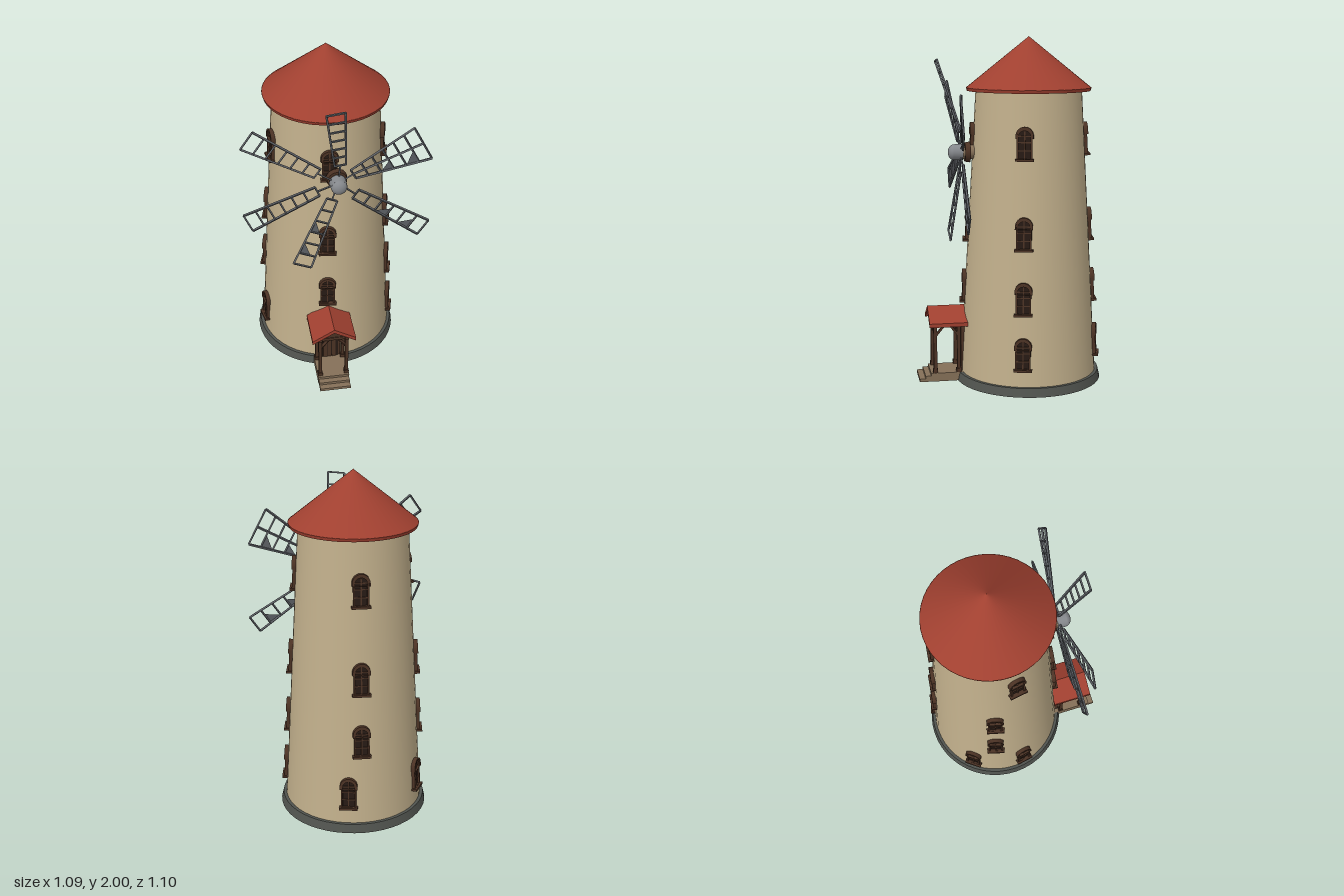
import * as THREE from 'three';

const mat = (name, color) => Object.assign(new THREE.MeshStandardMaterial({ color }), { name });

export function createModel() {
  const plaster = mat('plaster', 0xc2b08c);
  const tile = mat('red roof', 0xa04030);
  const stone = mat('dark stone', 0x50534e);
  const wood = mat('dark wood', 0x4b3224);
  const pane = mat('dark pane', 0x261a14);
  const step = mat('step stone', 0x857058);
  const iron = mat('sail frame', 0x5c5f64);
  const steel = mat('hub metal', 0x85888c);

  const model = new THREE.Group();
  model.name = 'windmill';
  const mill = new THREE.Group();
  mill.name = 'mill';
  mill.position.set(-0.115, 0, -0.122);
  model.add(mill);

  const add = (parent, name, geo, material, x = 0, y = 0, z = 0) => {
    const m = new THREE.Mesh(geo, material);
    m.name = name;
    m.position.set(x, y, z);
    parent.add(m);
    return m;
  };
  const box = (parent, name, material, w, h, d, x, y, z) =>
    add(parent, name, new THREE.BoxGeometry(w, h, d), material, x, y, z);
  // square bar between two points
  const bar = (parent, name, material, a, b, t) => {
    const m = box(parent, name, material, t, t, a.distanceTo(b), 0, 0, 0);
    m.position.copy(a).lerp(b, 0.5);
    m.quaternion.setFromUnitVectors(new THREE.Vector3(0, 0, 1), b.clone().sub(a).normalize());
    return m;
  };
  const V = (x, y, z) => new THREE.Vector3(x, y, z);
  const extrude = (shape, depth) =>
    new THREE.ExtrudeGeometry(shape, { depth, bevelEnabled: false, curveSegments: 8 });
  // round-topped outline, springing from y = h
  const arch = (w, h, rise, Type = THREE.Shape, y0 = 0) => {
    const s = new Type();
    s.moveTo(-w, y0);
    s.lineTo(w, y0);
    s.lineTo(w, h);
    s.absellipse(0, h, w, rise, 0, Math.PI, false, 0);
    s.lineTo(-w, y0);
    return s;
  };

  // tower
  const R = y => 0.4 - 0.095 * (y - 0.05) / 1.65;
  add(mill, 'foundation', new THREE.CylinderGeometry(0.418, 0.43, 0.05, 48), stone, 0, 0.025, 0);
  add(mill, 'tower', new THREE.CylinderGeometry(0.305, 0.4, 1.66, 48, 1, true), plaster, 0, 0.88, 0);
  add(mill, 'roof', new THREE.ConeGeometry(0.36, 0.29, 48, 1, true), tile, 0, 1.855, 0);
  add(mill, 'roofRim', new THREE.CylinderGeometry(0.36, 0.355, 0.018, 48), tile, 0, 1.702, 0);

  // windows: sill height and angles from +x towards +z
  const frameShape = arch(0.043, 0.135, 0.04);
  frameShape.holes.push(arch(0.033, 0.135, 0.03, THREE.Path, 0.012));
  const frameGeo = extrude(frameShape, 0.034);
  const paneGeo = extrude(arch(0.036, 0.135, 0.033), 0.005);
  const hoodShape = arch(0.05, 0.135, 0.052, THREE.Shape, 0.12);
  hoodShape.holes.push(arch(0.042, 0.135, 0.04, THREE.Path, 0.121));
  const hoodGeo = extrude(hoodShape, 0.04);
  const rows = [
    [1.325, [37, 112, 219, -43]], [0.825, [39, 136, 219, -43]],
    [0.46, [39, 137, 219, -43]], [0.145, [111, 159, 230, -43]],
  ];
  for (const [y, angles] of rows) for (const deg of angles) {
    const a = THREE.MathUtils.degToRad(deg);
    const w = new THREE.Group();
    w.name = 'window';
    w.position.set(Math.cos(a) * R(y), y, Math.sin(a) * R(y));
    w.rotation.set(-0.057, Math.PI / 2 - a, 0, 'YXZ');
    mill.add(w);
    add(w, 'windowFrame', frameGeo, wood, 0, 0, -0.018);
    add(w, 'windowPane', paneGeo, pane, 0, 0, 0);
    add(w, 'windowHood', hoodGeo, wood, 0, 0, -0.018);
    box(w, 'mullion', wood, 0.007, 0.155, 0.008, 0, 0.085, 0.007);
    for (const b of [0.055, 0.1, 0.135]) box(w, 'glazingBar', wood, 0.068, 0.006, 0.008, 0, b, 0.007);
    box(w, 'windowSill', wood, 0.104, 0.013, 0.045, 0, 0.003, 0.006);
  }

  // parts on the entrance side share this heading (local +z points outwards)
  const entrance = new THREE.Group();
  entrance.name = 'entranceSide';
  entrance.rotation.y = THREE.MathUtils.degToRad(58);
  mill.add(entrance);

  // porch
  const porch = new THREE.Group();
  porch.name = 'porch';
  porch.position.x = -0.04;
  entrance.add(porch);
  const gable = new THREE.Shape();
  [[-0.13, 0.335], [0, 0.41], [0.13, 0.335], [0.13, 0.358], [0, 0.435], [-0.13, 0.358]]
    .forEach(([x, y], i) => (i ? gable.lineTo(x, y) : gable.moveTo(x, y)));
  add(porch, 'porchRoof', extrude(gable, 0.24), tile, 0, 0, 0.355);
  const tri = new THREE.Shape();
  tri.moveTo(-0.095, 0.34);
  tri.lineTo(0.095, 0.34);
  tri.lineTo(0, 0.405);
  add(porch, 'gableBoard', extrude(tri, 0.012), wood, 0, 0, 0.553);
  box(porch, 'porchFloor', step, 0.19, 0.05, 0.22, 0, 0.025, 0.475);
  box(porch, 'upperStep', step, 0.186, 0.034, 0.035, 0, 0.017, 0.6);
  box(porch, 'lowerStep', step, 0.186, 0.018, 0.04, 0, 0.009, 0.632);
  for (const s of [-1, 1]) {
    for (const z of [0.42, 0.558]) {
      box(porch, 'porchPost', wood, 0.02, 0.3, 0.02, s * 0.08, 0.195, z);
      box(porch, 'postFoot', wood, 0.028, 0.025, 0.028, s * 0.08, 0.06, z);
      bar(porch, 'crossBrace', wood, V(s * 0.08, 0.265, z), V(s * 0.025, 0.335, z), 0.014);
    }
    box(porch, 'sideBeam', wood, 0.022, 0.02, 0.2, s * 0.08, 0.34, 0.475);
    bar(porch, 'sideBrace', wood, V(s * 0.08, 0.27, 0.558), V(s * 0.08, 0.335, 0.505), 0.013);
    bar(porch, 'sideBrace', wood, V(s * 0.08, 0.27, 0.42), V(s * 0.08, 0.335, 0.473), 0.013);
  }
  box(porch, 'frontBeam', wood, 0.18, 0.02, 0.02, 0, 0.34, 0.558);
  add(porch, 'doorFrame', extrude(arch(0.068, 0.255, 0.055), 0.05), wood, 0, 0.045, 0.355);
  add(porch, 'doorLeaf', extrude(arch(0.054, 0.25, 0.045), 0.006), pane, 0, 0.045, 0.402);
  for (const x of [-0.027, 0, 0.027]) box(porch, 'doorPlank', wood, 0.022, 0.24, 0.006, x, 0.17, 0.41);

  // hub
  const wheel = new THREE.Group();
  wheel.name = 'sailWheel';
  wheel.position.set(0.006, 1.345, 0.415);
  entrance.add(wheel);
  const disc = (name, r1, r2, len, material, z) => {
    add(wheel, name, new THREE.CylinderGeometry(r1, r2, len, 24), material, 0, 0, z).rotation.x = Math.PI / 2;
  };
  disc('axle', 0.04, 0.04, 0.12, step, -0.06);
  disc('hubCollar', 0.055, 0.06, 0.03, wood, -0.055);
  disc('hub', 0.045, 0.048, 0.055, steel, 0.0);
  add(wheel, 'hubCap', new THREE.SphereGeometry(0.045, 24, 12), steel, 0, 0, 0.022).scale.z = 0.75;

  // sails: inner x, y, then tip x, y, z, tip width
  const sails = [
    [0.012, 0.115, -0.037, 0.52, 0.115, 0.1],
    [0.085, 0.05, 0.455, 0.245, 0.033, 0.23],
    [0.1, -0.085, 0.492, -0.345, 0.005, 0.11],
    [-0.032, -0.11, -0.209, -0.525, 0.024, 0.11],
    [-0.115, -0.045, -0.504, -0.215, -0.012, 0.12],
    [-0.115, 0.075, -0.494, 0.335, 0.003, 0.12],
  ];
  sails.forEach(([bx, by, tx, ty, tz, tipW], n) => {
    const sail = new THREE.Group();
    sail.name = 'sail';
    wheel.add(sail);
    const a = V(bx, by, -0.018), b = V(tx, ty, tz);
    const side = V(by - ty, tx - bx, 0).normalize();
    // point on the sail: t along its length, s from -1 to 1 across it
    const at = (t, s) => a.clone().lerp(b, t)
      .addScaledVector(side, s * (0.032 + (tipW / 2 - 0.032) * t));
    bar(sail, 'sailStub', iron, V(0, 0, -0.015), at(0, 0), 0.008);
    const wide = tipW > 0.2;
    for (const s of wide ? [-1, 0, 1] : [-1, 1]) bar(sail, 'sailSpar', iron, at(0, s), at(1, s), 0.011);
    for (let i = 0; i <= 6; i++) bar(sail, 'sailRung', iron, at(i / 6, -1), at(i / 6, 1), 0.009);
    // scraps of plate left in the corners of some sails
    if (n > 0 && n < 4) for (const t of [2, 4]) {
      const p = [at(t / 6, -1), at((t + 1) / 6, -1), at((t + 1) / 6, wide ? -0.2 : 0.4)];
      const scrap = new THREE.BufferGeometry().setFromPoints([...p, p[0], p[2], p[1]]);
      scrap.computeVertexNormals();
      add(sail, 'sailScrap', scrap, iron);
    }
  });

  return model;
}
